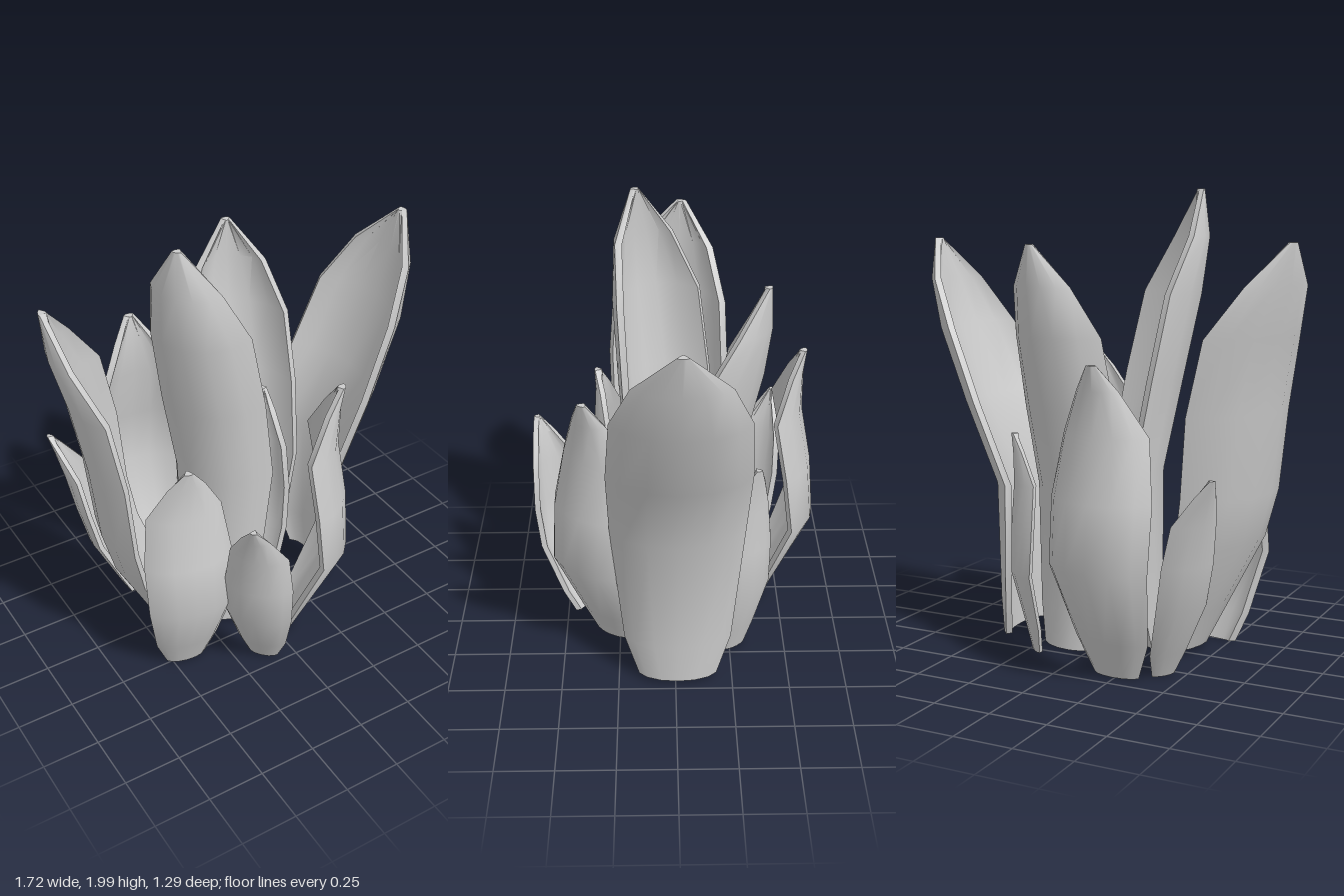
import * as THREE from 'three';
import { toCreasedNormals } from 'three/addons/utils/BufferGeometryUtils.js';

// Growth profiles, rows from base to tip:
// [height, lean from base to tip, outward bulge, half width, cup depth]
const TALL = [
  [0, 0, 0, 0.57, 0.4], [0.1, 0.0, 0, 0.78, 0.65], [0.4, 0.02, 0, 0.97, 0.95],
  [0.6, 0.42, 0.4, 1, 1], [0.78, 0.77, 0.9, 0.93, 1], [0.9, 0.92, 1, 0.64, 0.55], [1, 1, 0, 0.08, 0.05],
];
// tall leaf that spreads low down, then rises
const SPREAD = [
  [0, 0, 0, 0.5, 0.35], [0.1, 0.17, 0, 0.72, 0.6], [0.28, 0.52, 0, 0.9, 0.85], [0.4, 0.64, 0, 0.97, 0.95],
  [0.6, 0.72, 0, 1, 1], [0.78, 0.85, 0, 0.93, 1], [0.9, 0.97, 0, 0.62, 0.55], [1, 1, 0, 0.08, 0.05],
];
const BULB = [
  [0, 0, 0, 0.45, 0.3], [0.12, 0.12, 0.3, 0.72, 0.55], [0.37, 0.37, 1, 0.98, 0.85],
  [0.58, 0.58, 0.65, 1, 0.95], [0.78, 0.78, 0.15, 0.85, 0.95], [0.92, 0.92, 0, 0.42, 0.4], [1, 1, 0, 0.1, 0.08],
];
const COLS = 7;
const ARC = 1.3;

// One thick cupped leaf; base and tip are [x, y, z] on its outer ridge, facing is [x, z]
function leafGeometry({ profile, base, tip, facing, width, cup, bulge = 0, thick = 0.035 }) {
  const len = Math.hypot(...facing);
  const dx = facing[0] / len, dz = facing[1] / len;
  const pos = [], index = [], ring = COLS * 2;
  for (const [h, lean, puff, w, c] of profile) {
    const rx = base[0] + (tip[0] - base[0]) * lean + dx * bulge * puff;
    const rz = base[2] + (tip[2] - base[2]) * lean + dz * bulge * puff;
    const y = base[1] + (tip[1] - base[1]) * h;
    // outer skin left to right, then inner skin back again, thinner at the rims
    for (let k = 0; k < ring; k++) {
      const inner = k >= COLS;
      const j = inner ? ring - 1 - k : k;
      const a = (j / (COLS - 1) * 2 - 1) * ARC;
      const hw = inner ? Math.max(width * w - thick * 0.7, width * w * 0.5) : width * w;
      const side = hw * Math.sin(a) / Math.sin(ARC);
      const skin = inner ? thick * Math.max(Math.cos(a), 0.5) : 0;
      const out = -cup * c * (1 - Math.cos(a)) / (1 - Math.cos(ARC)) - skin;
      pos.push(rx + dx * out + dz * side, y, rz + dz * out - dx * side);
    }
  }
  const quad = (a, b, c, d) => index.push(a, b, c, a, c, d);
  for (let i = 0; i < profile.length - 1; i++) {
    for (let k = 0; k < ring; k++) {
      const n = (k + 1) % ring, lo = i * ring, hi = lo + ring;
      quad(lo + k, lo + n, hi + n, hi + k);
    }
  }
  // end caps
  const top = (profile.length - 1) * ring;
  for (let j = 0; j < COLS - 1; j++) {
    const p = ring - 1 - j;
    quad(top + j, top + j + 1, top + p - 1, top + p);
    quad(p, p - 1, j + 1, j);
  }
  const geo = new THREE.BufferGeometry();
  geo.setAttribute('position', new THREE.Float32BufferAttribute(pos, 3));
  geo.setIndex(index);
  return toCreasedNormals(geo, 0.8);
}

const LEAVES = {
  // tall leaves
  tallLeafLeft: { profile: TALL, base: [0.475, 0.03, -0.01], tip: [0.855, 1.79, -0.02], facing: [1, 0], width: 0.3, cup: 0.15 },
  tallLeafRight: { profile: SPREAD, base: [-0.41, 0.03, 0], tip: [-0.86, 1.78, -0.05], facing: [-0.92, -0.38], width: 0.3, cup: 0.15 },
  tallLeafCentre: { profile: TALL, base: [-0.22, 0.02, 0.11], tip: [-0.38, 2, 0.17], facing: [-0.8, 0.6], width: 0.24, cup: 0.19, bulge: 0.035 },
  tallLeafBack: { profile: TALL, base: [0.13, 0.02, -0.22], tip: [0.17, 1.77, -0.39], facing: [0.27, -0.96], width: 0.245, cup: 0.18, bulge: 0.02 },
  // medium leaves
  mediumLeafBack: { profile: BULB, base: [-0.24, 0.01, -0.43], tip: [-0.22, 1.31, -0.59], facing: [0.05, -1], width: 0.23, cup: 0.12, bulge: 0.16 },
  mediumLeafFrontLeft: { profile: BULB, base: [0.11, 0.01, 0.3], tip: [0.28, 1.3, 0.39], facing: [0.83, 0.56], width: 0.215, cup: 0.12, bulge: 0.16 },
  mediumLeafFrontRight: { profile: BULB, base: [-0.44, 0.01, 0.28], tip: [-0.45, 1.11, 0.36], facing: [-0.18, 0.98], width: 0.195, cup: 0.09, bulge: 0.13 },
  // small leaves
  smallLeafFront: { profile: BULB, base: [-0.14, 0.01, 0.43], tip: [-0.32, 0.94, 0.63], facing: [-0.75, 0.66], width: 0.15, cup: 0.08, bulge: 0.07, thick: 0.03 },
  smallLeafBackRight: { profile: BULB, base: [-0.43, 0.01, -0.31], tip: [-0.7, 0.88, -0.49], facing: [-0.85, -0.5], width: 0.13, cup: 0.07, bulge: 0.05, thick: 0.03 },
  smallLeafBackLeft: { profile: BULB, base: [0.22, 0.02, -0.28], tip: [0.27, 0.98, -0.36], facing: [0.8, -0.6], width: 0.145, cup: 0.07, bulge: 0.06, thick: 0.03 },
  smallLeafInner: { profile: BULB, base: [0.03, 0.02, 0.07], tip: [0.14, 1.12, -0.02], facing: [0.67, -0.74], width: 0.15, cup: 0.08, bulge: 0.06, thick: 0.03 },
};

export function createModel() {
  const group = new THREE.Group();
  group.name = 'leafCluster';
  const material = new THREE.MeshStandardMaterial({ color: 0xcccccc });
  for (const [name, spec] of Object.entries(LEAVES)) {
    const mesh = new THREE.Mesh(leafGeometry(spec), material);
    mesh.name = name;
    group.add(mesh);
  }
  return group;
}
